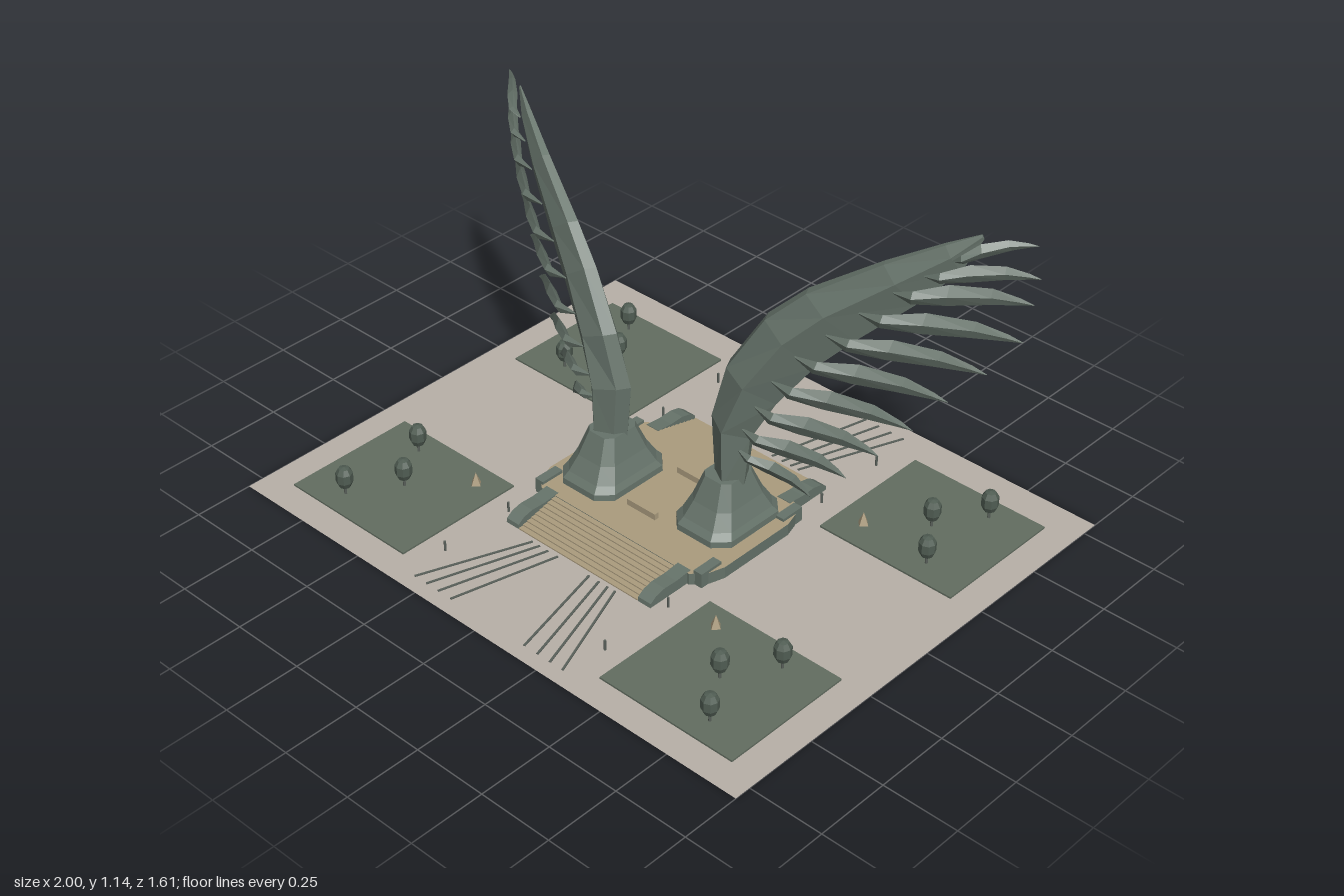
import * as THREE from 'three';

const material = (name, color, side = THREE.FrontSide) =>
  Object.assign(new THREE.MeshStandardMaterial({ color, side, flatShading: true }), { name });

const bronze = material('green bronze', 0x66736a);
const paving = material('grey paving', 0xb8b0a8, THREE.DoubleSide);
const lawnGreen = material('lawn green', 0x626d60);
const sandstone = material('sandstone', 0xab9c7e);
const leaf = material('dark leaf', 0x505d53);
const inlay = material('dark inlay', 0x59605a);

const V = (x, y, z) => new THREE.Vector3(x, y, z);

function add(parent, name, geometry, mat, x = 0, y = 0, z = 0) {
  const mesh = new THREE.Mesh(geometry, mat);
  mesh.name = name;
  mesh.position.set(x, y, z);
  parent.add(mesh);
  return mesh;
}

const box = (w, h, d) => new THREE.BoxGeometry(w, h, d);

// Faceted closed skin through equal-sized rings; always wound outwards
function loft(rings) {
  const n = rings[0].length, last = rings.length - 1, tris = [];
  for (let i = 0; i < last; i++) {
    for (let j = 0; j < n; j++) {
      const k = (j + 1) % n, a = rings[i], b = rings[i + 1];
      tris.push([a[j], a[k], b[k]], [a[j], b[k], b[j]]);
    }
  }
  for (let j = 1; j < n - 1; j++) {
    tris.push([rings[0][0], rings[0][j + 1], rings[0][j]]);
    tris.push([rings[last][0], rings[last][j], rings[last][j + 1]]);
  }
  const c = rings[0][0];
  const volume = tris.reduce((s, [p, q, r]) =>
    s + p.clone().sub(c).dot(q.clone().sub(c).cross(r.clone().sub(c))), 0);
  const points = tris.flatMap(([p, q, r]) => (volume < 0 ? [p, r, q] : [p, q, r]));
  const geometry = new THREE.BufferGeometry().setFromPoints(points);
  geometry.computeVertexNormals();
  return geometry;
}

// Backward sweep of a wing as it spreads outwards
const sweep = x => { const d = Math.max(0, x - 0.2); return -0.045 - 0.35 * d - 0.27 * d * d; };
const OUT = V(0.45, 0, 0.89); // across the thickness, towards the front
const wingPoint = (x, y, off) => V(x, y, sweep(x)).addScaledVector(OUT, off);

// Leading edge x, y; trailing edge x, y; half thickness
const ARM = [
  [0.158, 0.19, 0.255, 0.19, 0.06], [0.143, 0.40, 0.27, 0.36, 0.065],
  [0.196, 0.59, 0.34, 0.50, 0.06], [0.303, 0.78, 0.44, 0.65, 0.053],
  [0.41, 0.89, 0.54, 0.76, 0.045], [0.60, 1.02, 0.68, 0.90, 0.033],
  [0.74, 1.10, 0.78, 1.02, 0.02], [0.82, 1.14, 0.825, 1.125, 0.004],
];
// Position across the arm, share of the thickness
const ARM_SECTION = [[0, 0.4], [0.4, 1], [1, 0.35], [1, -0.35], [0.4, -1], [0, -0.4]];

// Root x, y; tip x, y
const FEATHERS = [
  [0.76, 1.06, 0.946, 1.115], [0.70, 1.01, 0.957, 1.01], [0.63, 0.95, 0.946, 0.925],
  [0.55, 0.87, 0.93, 0.80], [0.47, 0.78, 0.855, 0.685], [0.39, 0.69, 0.77, 0.58],
  [0.33, 0.59, 0.69, 0.47], [0.285, 0.49, 0.61, 0.365], [0.25, 0.40, 0.53, 0.27],
  [0.235, 0.32, 0.437, 0.18],
];
// Along the feather, half width, forward offset, half thickness
const FEATHER_SECTIONS = [
  [0, 0.003, 0.04, 0.003], [0.15, 0.022, 0.068, 0.014], [0.4, 0.036, 0.045, 0.018],
  [0.7, 0.028, 0.015, 0.012], [0.9, 0.012, 0.002, 0.006], [1, 0.001, 0, 0.001],
];

function featherRings([x0, y0, x1, y1]) {
  const length = Math.hypot(x1 - x0, y1 - y0);
  const nx = -(y1 - y0) / length, ny = (x1 - x0) / length;
  const size = Math.min(1, length / 0.33);
  return FEATHER_SECTIONS.map(([s, w, off, t]) => {
    const bow = 0.025 * Math.sin(Math.PI * s);
    const at = (side, o) => {
      const d = bow + side * w * size;
      return wingPoint(x0 + (x1 - x0) * s + nx * d, y0 + (y1 - y0) * s + ny * d, off * size + o);
    };
    return [at(1, 0), at(0.1, t), at(-1, 0), at(0.1, -t)];
  });
}

function makeWing(name, place) {
  const wing = new THREE.Group();
  wing.name = name;
  const build = rings => loft(rings.map(ring => ring.map(place)));
  add(wing, 'wingArm', build(ARM.map(([lx, ly, tx, ty, t]) => ARM_SECTION.map(([c, k]) =>
    wingPoint(lx + (tx - lx) * c, ly + (ty - ly) * c, t * k)))), bronze);
  for (const f of FEATHERS) add(wing, 'feather', build(featherRings(f)), bronze);
  return wing;
}

// Chamfered rectangular pedestal, flaring downwards
function makePedestal() {
  const levels = [[0.112, 0.15, 0.03], [0.11, 0.148, 0.06], [0.098, 0.13, 0.08],
    [0.077, 0.1, 0.13], [0.053, 0.066, 0.21]];
  return loft(levels.map(([a, b, y]) => {
    const c = a * 0.4;
    return [[a, b - c], [a - c, b], [c - a, b], [-a, b - c], [-a, c - b], [c - a, -b], [a - c, -b], [a, c - b]]
      .map(([x, z]) => V(x, y, z));
  }));
}

// Raised terrace with stairs and side walls
function makeTerrace() {
  const terrace = new THREE.Group();
  terrace.name = 'terrace';
  const quarter = [[0.36, 0.14], [0.345, 0.19], [0.305, 0.235]];
  const mirrored = quarter.slice().reverse();
  const outline = [...quarter, ...mirrored.map(([x, z]) => [-x, z]),
    ...quarter.map(([x, z]) => [-x, -z]), ...mirrored.map(([x, z]) => [x, -z])];
  const shape = new THREE.Shape(outline.map(([x, z]) => new THREE.Vector2(x, z)));
  const slab = new THREE.ExtrudeGeometry(shape, { depth: 0.04, bevelEnabled: false });
  slab.rotateX(-Math.PI / 2);
  add(terrace, 'terraceSlab', slab, [sandstone, bronze]);

  // Low humped wall beside each flight of stairs
  const hump = new THREE.Shape([[0.22, 0], [0.39, 0], [0.388, 0.014], [0.365, 0.03], [0.33, 0.038],
    [0.28, 0.036], [0.22, 0.042]].map(([z, y]) => new THREE.Vector2(z, y)));
  const wall = new THREE.ExtrudeGeometry(hump, { depth: 0.05, bevelEnabled: false });
  wall.translate(0, 0, -0.025).rotateY(-Math.PI / 2);

  const steps = 9, run = 0.155 / steps;
  for (const sz of [1, -1]) {
    for (let i = 0; i < steps; i++) {
      const h = 0.04 * (steps - i) / (steps + 0.5);
      add(terrace, 'step', box(0.49, h, run), sandstone, 0, h / 2, sz * (0.235 + run * (i + 0.5)));
    }
    add(terrace, 'bench', box(0.115, 0.022, 0.016), sandstone, 0, 0.05, sz * 0.11);
    for (const sx of [1, -1]) {
      const mesh = add(terrace, 'stairWall', wall, bronze, sx * 0.272);
      mesh.rotation.y = sz > 0 ? 0 : Math.PI;
      add(terrace, 'cornerWall', box(0.032, 0.05, 0.085), bronze, sx * 0.327, 0.025, sz * 0.18);
    }
  }
  return terrace;
}

function makeTree(x, z) {
  const tree = new THREE.Group();
  tree.name = 'tree';
  tree.position.set(x, 0, z);
  add(tree, 'trunk', new THREE.CylinderGeometry(0.004, 0.005, 0.045, 6), inlay, 0, 0.022, 0);
  const crown = [[0, 0.033], [0.018, 0.036], [0.027, 0.055], [0.027, 0.085], [0.017, 0.102], [0, 0.106]];
  add(tree, 'crown', new THREE.LatheGeometry(crown.map(p => new THREE.Vector2(...p)), 8), leaf);
  return tree;
}

export function createModel() {
  const model = new THREE.Group();
  model.name = 'wingMonument';

  // Plaza
  add(model, 'plaza', new THREE.PlaneGeometry(2, 1.61).rotateX(-Math.PI / 2), paving);
  model.add(makeTerrace());

  // Wings on their pedestals; the right one is lower and stands further forward
  const pedestal = makePedestal();
  add(model, 'leftPedestal', pedestal, bronze, 0.202, 0, -0.045);
  add(model, 'rightPedestal', pedestal, bronze, -0.207, 0, 0.025);
  model.add(makeWing('leftWing', p => p));
  model.add(makeWing('rightWing', p => V(-1.02 * p.x, 0.022 + 0.89 * p.y, 0.075 + 0.85 * p.z)));

  for (const sx of [1, -1]) {
    for (const sz of [1, -1]) {
      // Lawn with three trees and a small pyramid
      const lawnZ = sz > 0 ? 0.482 : -0.46;
      add(model, 'lawn', box(0.495, 0.006, 0.455), lawnGreen, sx * 0.653, 0.004, lawnZ);
      for (const [x, dz] of [[0.75, -0.15], [0.65, 0], [0.75, 0.15]]) {
        model.add(makeTree(sx * x, lawnZ + dz));
      }
      add(model, 'pyramid', new THREE.ConeGeometry(0.02, 0.045, 4), sandstone, sx * 0.495, 0.028, sz * 0.328);

      // Posts beside the approach
      for (const z of sz > 0 ? [0.35, 0.61] : [-0.33, -0.59]) {
        add(model, 'post', new THREE.CylinderGeometry(0.004, 0.004, 0.035, 6), inlay, sx * 0.33, 0.0175, z);
      }

      // Fan of inlaid paving lines
      for (const [xi, xo] of [[0.17, 0.305], [0.14, 0.255], [0.105, 0.205], [0.065, 0.152]]) {
        const dx = sx * (xo - xi), dz = sz * 0.35;
        const line = add(model, 'pavingLine', box(0.007, 0.003, Math.hypot(dx, dz)), inlay,
          sx * (xi + xo) / 2, 0.002, sz * 0.58);
        line.rotation.y = Math.atan2(dx, dz);
      }
    }
  }
  return model;
}
